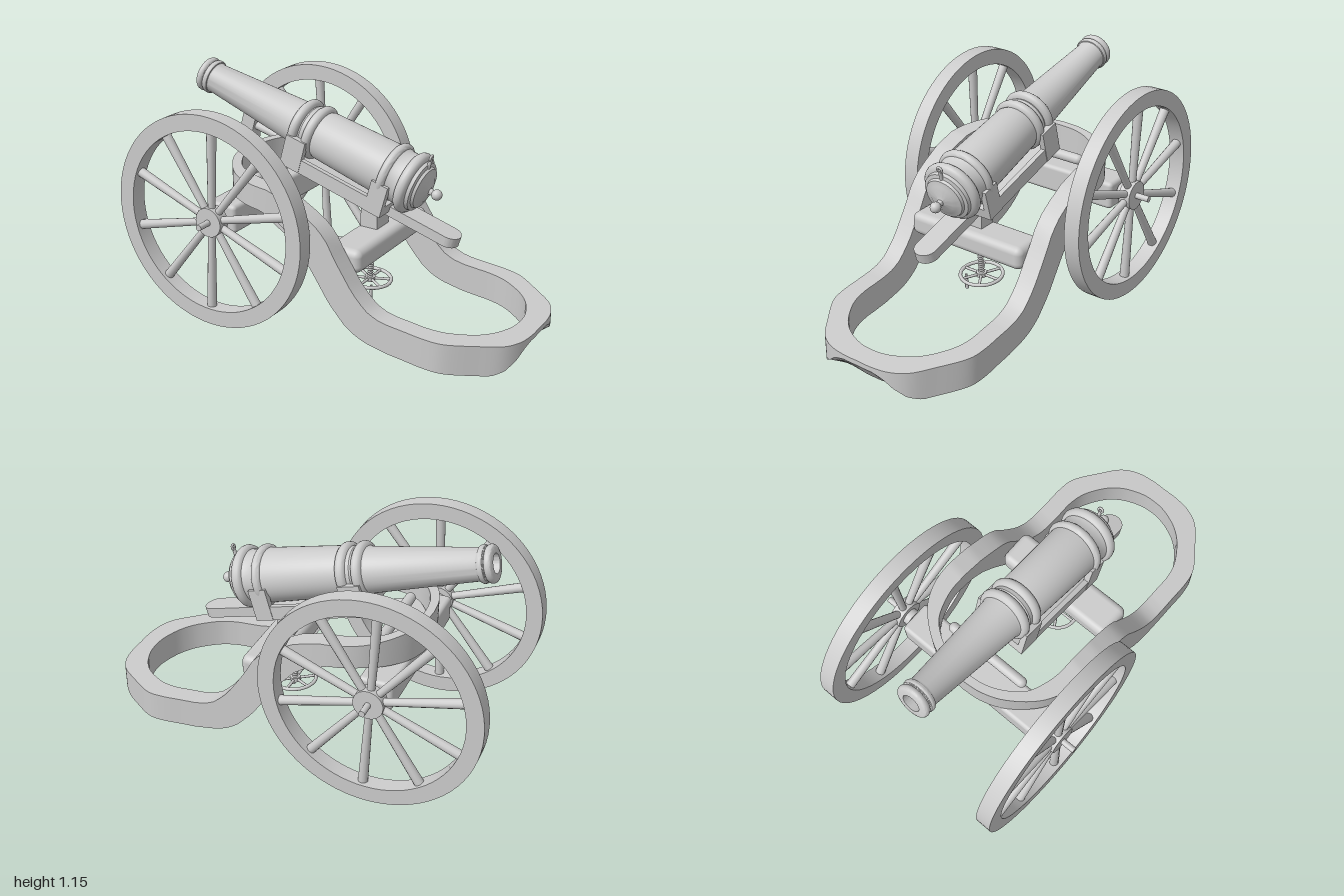
import * as THREE from 'three';
import { toCreasedNormals } from 'three/addons/utils/BufferGeometryUtils.js';
import { RoundedBoxGeometry } from 'three/addons/geometries/RoundedBoxGeometry.js';

const material = new THREE.MeshStandardMaterial({ color: 0xcccccc });

function add(parent, name, geometry, x = 0, y = 0, z = 0) {
  const mesh = new THREE.Mesh(geometry, material);
  mesh.name = name;
  mesh.position.set(x, y, z);
  parent.add(mesh);
  return mesh;
}

function addGroup(parent, name, x = 0, y = 0, z = 0) {
  const group = new THREE.Group();
  group.name = name;
  group.position.set(x, y, z);
  parent.add(group);
  return group;
}

const lathe = (points, sides = 48) =>
  toCreasedNormals(new THREE.LatheGeometry(points.map(([r, y]) => new THREE.Vector2(r, y)), sides), 0.6);

// Piecewise-linear height along x
function heightAt(points, x) {
  for (let i = 1; i < points.length; i++) {
    const [x0, y0] = points[i - 1], [x1, y1] = points[i];
    if (x <= x1) return y0 + (y1 - y0) * Math.max(0, (x - x0) / (x1 - x0));
  }
  return points[points.length - 1][1];
}

// Closed carriage strap: a plan-view ring whose top and bottom follow a side profile
function strapGeometry() {
  const top = [[-0.6, 0.75], [-0.2, 0.725], [-0.08, 0.69], [0.02, 0.635], [0.08, 0.595], [0.126, 0.545], [0.17, 0.465],
    [0.25, 0.345], [0.29, 0.295], [0.34, 0.25], [0.39, 0.225], [0.45, 0.213], [1, 0.165]];
  const bottom = [[-0.6, 0.585], [-0.4, 0.62], [-0.25, 0.615], [-0.15, 0.585], [-0.08, 0.535], [-0.02, 0.465], [0.05, 0.37],
    [0.14, 0.235], [0.22, 0.15], [0.27, 0.115], [0.33, 0.09], [0.45, 0.067], [0.9, 0.025], [0.95, 0.045], [0.98, 0.085], [1, 0.14]];
  const straight = [-0.05, 0.1, 0.25, 0.4, 0.52];
  const spline = (start, z, end) => new THREE.SplineCurve(
    [...start, ...straight.map(x => [x, z]), ...end].map(p => new THREE.Vector2(...p)));
  const outer = spline(
    [[-0.595, 0], [-0.585, 0.1], [-0.55, 0.2], [-0.48, 0.3], [-0.4, 0.37], [-0.3, 0.41], [-0.2, 0.42]], 0.42,
    [[0.64, 0.42], [0.73, 0.4], [0.85, 0.32], [0.94, 0.25], [0.985, 0.17], [1, 0.08], [1, 0]]);
  const inner = spline(
    [[-0.555, 0], [-0.545, 0.09], [-0.515, 0.17], [-0.46, 0.25], [-0.4, 0.29], [-0.3, 0.32], [-0.2, 0.325]], 0.325,
    [[0.6, 0.325], [0.69, 0.305], [0.79, 0.245], [0.85, 0.18], [0.885, 0.11], [0.902, 0.05], [0.905, 0]]);

  const steps = 90, positions = [], index = [];
  for (let i = 0; i < 2 * steps; i++) {
    const u = i <= steps ? i / steps : 2 - i / steps;
    const side = i <= steps ? 1 : -1;
    const o = outer.getPoint(u), n = inner.getPoint(u);
    const corner = (p, profile) => positions.push(p.x, heightAt(profile, p.x), side * p.y);
    corner(o, top);
    corner(o, bottom);
    corner(n, bottom);
    corner(n, top);
    const a = i * 4, b = ((i + 1) % (2 * steps)) * 4;
    for (let k = 0; k < 4; k++) {
      const l = (k + 1) % 4;
      index.push(a + k, a + l, b + k, b + k, a + l, b + l);
    }
  }
  const geometry = new THREE.BufferGeometry();
  geometry.setAttribute('position', new THREE.Float32BufferAttribute(positions, 3));
  geometry.setIndex(index);
  return toCreasedNormals(geometry, 0.5);
}

// Spoked wheel in the xy plane
function addWheel(parent, name, z) {
  const wheel = addGroup(parent, name, -0.475, 0.53, z);
  const rim = lathe([[0.45, -0.04], [0.53, -0.04], [0.53, 0.04], [0.45, 0.04], [0.45, -0.04]], 72);
  add(wheel, 'rim', rim.rotateX(Math.PI / 2));
  add(wheel, 'hub', new THREE.CylinderGeometry(0.072, 0.072, 0.06, 32).rotateX(Math.PI / 2));
  add(wheel, 'hubCollar', new THREE.CylinderGeometry(0.042, 0.042, 0.03, 24).rotateX(Math.PI / 2), 0, 0, -0.045);
  const spoke = new THREE.CylinderGeometry(0.024, 0.018, 0.42, 12).translate(0, 0.25, 0);
  for (let i = 0; i < 10; i++)
    add(wheel, 'spoke', spoke).rotation.z = -0.05 + i * Math.PI / 5;
  if (z < 0) wheel.rotation.y = Math.PI;
}

// Barrel and cradle, laid along local +x from the muzzle to the breech
function addGun(parent) {
  const gun = addGroup(parent, 'gun', -0.865, 1.07, -0.01);
  gun.rotation.z = -0.278;

  const band = (t, base, r, w) => [0, 1, 2, 3, 4, 5, 6].map(i => {
    const a = Math.PI * i / 6;
    return [base + (r - base) * Math.sin(a), t - w * Math.cos(a)];
  });
  const profile = [
    [0, 0.35], [0.045, 0.35], [0.045, 0], [0.07, 0], ...band(0.018, 0.076, 0.087, 0.016),
    [0.08, 0.037], ...band(0.053, 0.078, 0.087, 0.014), [0.075, 0.075],
    [0.108, 0.59], ...band(0.625, 0.112, 0.137, 0.025), [0.118, 0.66],
    ...band(0.705, 0.116, 0.137, 0.025), [0.12, 0.74], [0.131, 1.1],
    ...band(1.14, 0.132, 0.15, 0.022), [0.128, 1.175], [0.128, 1.21],
    ...band(1.245, 0.13, 0.152, 0.026), [0.125, 1.273], [0.122, 1.29], [0.105, 1.295],
    [0.1, 1.308], [0.075, 1.315], [0.06, 1.323], [0.03, 1.328], [0.016, 1.335], [0.014, 1.36], [0, 1.36],
  ];
  add(gun, 'barrel', lathe(profile).rotateZ(-Math.PI / 2));
  add(gun, 'breechKnob', new THREE.SphereGeometry(0.026, 24, 16), 1.372);

  // Vent tube on top of the breech
  add(gun, 'ventPost', new THREE.CylinderGeometry(0.009, 0.009, 0.06, 12), 1.292, 0.125);
  add(gun, 'ventRing', new THREE.TorusGeometry(0.012, 0.006, 8, 20).rotateY(Math.PI / 2), 1.292, 0.158);

  // Cradle bed, side rails and end uprights
  add(gun, 'cradleBed', new THREE.BoxGeometry(0.58, 0.05, 0.25), 0.9, -0.145);
  for (const s of [-1, 1]) {
    add(gun, 'cradleRail', new THREE.BoxGeometry(0.58, 0.07, 0.025), 0.9, -0.135, s * 0.13);
    add(gun, 'frontUpright', new THREE.BoxGeometry(0.11, 0.16, 0.03), 0.665, -0.09, s * 0.13);
    add(gun, 'rearUpright', new THREE.BoxGeometry(0.09, 0.16, 0.03), 1.145, -0.09, s * 0.13);
  }

  // Round-ended tail plank under the breech
  const plank = new THREE.Shape();
  plank.moveTo(0.95, -0.056);
  plank.lineTo(1.49, -0.056);
  plank.absarc(1.49, 0, 0.056, -Math.PI / 2, Math.PI / 2);
  plank.lineTo(0.95, 0.056);
  const plankGeometry = new THREE.ExtrudeGeometry(plank, { depth: 0.05, bevelEnabled: false, curveSegments: 16 });
  add(gun, 'tailPlank', toCreasedNormals(plankGeometry.rotateX(-Math.PI / 2), 0.5), 0, -0.193);
}

// Elevating screw with a handwheel and crank handle
function addElevatingScrew(parent) {
  const screw = addGroup(parent, 'elevatingScrew', 0.105, 0.185, 0);
  screw.rotation.z = -0.08;
  const thread = [[0, 0]];
  for (let i = 0; i < 30; i++) thread.push([0.015, i * 0.0115], [0.011, i * 0.0115 + 0.006]);
  thread.push([0, 0.345]);
  add(screw, 'threadedRod', lathe(thread, 16));
  add(screw, 'handwheelRim', new THREE.TorusGeometry(0.104, 0.009, 10, 48).rotateX(Math.PI / 2));
  add(screw, 'handwheelHub', new THREE.CylinderGeometry(0.026, 0.026, 0.022, 20));
  const arm = new THREE.CylinderGeometry(0.007, 0.007, 0.1, 8).translate(0, 0.054, 0);
  for (let i = 0; i < 6; i++)
    add(screw, 'handwheelSpoke', arm).rotation.set(Math.PI / 2, 0, i * Math.PI / 3);
  add(screw, 'crankHandle', new THREE.CylinderGeometry(0.006, 0.01, 0.08, 12), 0.045, -0.04, 0.06);
}

export function createModel() {
  const model = new THREE.Group();
  model.name = 'fieldCannon';

  add(model, 'carriageStrap', strapGeometry());
  add(model, 'axleBeam', new RoundedBoxGeometry(0.165, 0.14, 0.83, 3, 0.02), -0.472, 0.525, 0);
  add(model, 'axle', new THREE.CylinderGeometry(0.015, 0.015, 1.16, 20).rotateX(Math.PI / 2), -0.475, 0.53, 0);
  add(model, 'crossRod', new THREE.CapsuleGeometry(0.026, 0.41, 8, 20).rotateX(Math.PI / 2), -0.41, 0.665, 0);
  add(model, 'crossBeam', new RoundedBoxGeometry(0.185, 0.115, 0.65, 4, 0.035), 0.15, 0.42, 0);
  add(model, 'cradleBlock', new THREE.BoxGeometry(0.09, 0.16, 0.11), 0.13, 0.54, 0);

  addWheel(model, 'leftWheel', 0.48);
  addWheel(model, 'rightWheel', -0.48);
  addGun(model);
  addElevatingScrew(model);
  return model;
}
